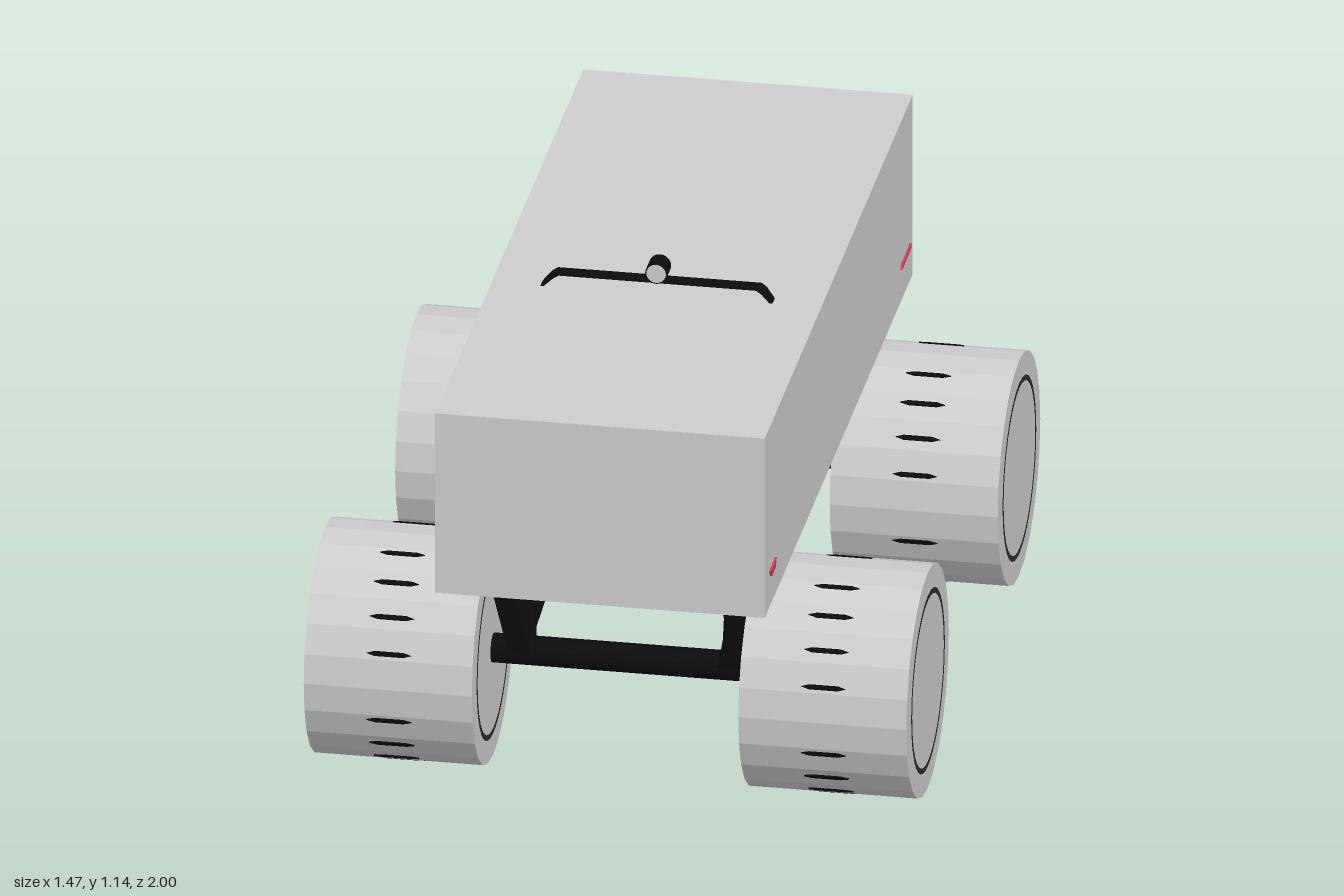
import * as THREE from 'three';

const paint = (name, color, side = THREE.FrontSide) => {
  const m = new THREE.MeshStandardMaterial({ color, flatShading: true, side });
  m.name = name;
  return m;
};

export function createModel() {
  const root = new THREE.Group();
  root.name = 'vehicle';
  const grey = paint('light grey', 0xcccccc);
  const black = paint('black', 0x0b0b0b);
  const dark = paint('dark rubber', 0x2b2b2b, THREE.DoubleSide);
  const red = paint('lamp red', 0xd0405c, THREE.DoubleSide);

  const add = (parent, name, geo, mat, x = 0, y = 0, z = 0) => {
    const m = new THREE.Mesh(geo, mat);
    m.name = name;
    m.position.set(x, y, z);
    parent.add(m);
    return m;
  };
  const box = (w, h, d) => new THREE.BoxGeometry(w, h, d);
  // round bar between two points
  const rod = (parent, name, a, b, r, mat = black, sides = 10) => {
    const p = new THREE.Vector3(...a), q = new THREE.Vector3(...b);
    const m = add(parent, name, new THREE.CylinderGeometry(r, r, p.distanceTo(q), sides), mat);
    m.position.copy(p).add(q).multiplyScalar(0.5);
    m.quaternion.setFromUnitVectors(new THREE.Vector3(0, 1, 0), q.sub(p).normalize());
    return m;
  };
  // plate drawn in z,y and extruded along x, centred on x = 0
  const sidePlate = (points, t) => {
    const s = new THREE.Shape(points.map(([z, y]) => new THREE.Vector2(-z, y)));
    const g = new THREE.ExtrudeGeometry(s, { depth: t, bevelEnabled: false });
    return g.translate(0, 0, -t / 2).rotateY(Math.PI / 2);
  };

  // Body shell
  add(root, 'body', box(0.804, 0.475, 1.985), grey, 0, 0.8225, 0.0075);

  // Wheels with rim rings and tread slots
  const R = 0.285, W = 0.41;
  const wheelGeo = new THREE.CylinderGeometry(R, R, W, 24).rotateZ(Math.PI / 2);
  const ringGeo = new THREE.RingGeometry(0.212, 0.226, 40).rotateY(Math.PI / 2);
  const slot = new THREE.Shape([[-0.055, 0], [-0.035, 0.006], [0.035, 0.006],
    [0.055, 0], [0.035, -0.006], [-0.035, -0.006]].map(p => new THREE.Vector2(...p)));
  const slotGeo = new THREE.ExtrudeGeometry(slot, { depth: 0.006, bevelEnabled: false });
  const axleZ = [0.647, -0.58];
  for (const z of axleZ) {
    for (const s of [1, -1]) {
      const wheel = new THREE.Group();
      wheel.name = 'wheel';
      wheel.position.set(s * 0.53, R, z);
      root.add(wheel);
      add(wheel, 'tyre', wheelGeo, grey);
      for (const e of [1, -1]) add(wheel, 'rimRing', ringGeo, dark, e * (W / 2 + 0.001));
      for (let i = 0; i < 20; i++) {
        if (i % 5 === 0) continue;
        const pivot = new THREE.Group();
        pivot.name = 'treadSlot';
        pivot.rotation.x = i * Math.PI / 10;
        add(pivot, 'slot', slotGeo, black, 0, 0, R - 0.0045);
        wheel.add(pivot);
      }
    }
    rod(root, 'axle', [-0.34, R, z], [0.34, R, z], 0.036, black, 16);
  }

  // Suspension towers, pins and links
  for (const s of [1, -1]) {
    axleZ.forEach((z, i) => {
      const f = i === 0 ? 1 : -1;
      const g = sidePlate([[-0.04, 0.29], [0.04, 0.29], [0.09, 0.515], [-0.09, 0.515]], 0.05);
      const p = g.attributes.position;
      for (let k = 0; k < p.count; k++) // lean outward towards the top
        p.setX(k, p.getX(k) + s * (0.255 + (p.getY(k) - 0.29) * 0.18));
      g.computeVertexNormals();
      add(root, 'shockTower', g, black, 0, 0, z);
      for (const dz of [-0.06, 0, 0.06])
        rod(root, 'shockPin', [s * 0.297, 0.5, z + dz], [s * 0.297, 0.59, z + dz], 0.017, grey, 12);
      const inner = i === 0 ? 0.25 : -0.19, low = i === 0 ? 0.13 : -0.08;
      rod(root, 'upperLink', [s * 0.25, 0.415, z], [s * 0.238, 0.505, inner], 0.014);
      rod(root, 'lowerLink', [s * 0.25, 0.295, z], [s * 0.238, 0.4, low], 0.014);
      rod(root, 'bodyStrut', [s * 0.27, 0.59, i === 0 ? 0.355 : -0.295],
        [s * 0.24, 0.4, i === 0 ? 0.17 : -0.11], 0.008);
      rod(root, 'towerStay', [s * 0.24, 0.3, z - f * 0.04], [s * 0.24, 0.53, z - f * 0.1], 0.013);
    });
    add(root, 'skidSide', sidePlate(
      [[0.148, 0.375], [0.305, 0.545], [-0.25, 0.545], [-0.09, 0.375]], 0.025), black, s * 0.236);
  }
  add(root, 'skidPlate', box(0.46, 0.012, 0.24), black, 0, 0.381, 0.029);

  // Roof bar: flat ribbon with bent ends
  const bar = new THREE.Shape();
  const half = [[0.285, 1.058], [0.262, 1.083], [0.248, 1.091]];
  const lower = half.map(([x, y], i) => [x - 0.007, y - (i ? 0.006 : 0)]);
  const left = a => a.map(([x, y]) => [-x, y]);
  bar.setFromPoints([...half, ...left(half).reverse(), ...left(lower), ...lower.slice().reverse()]
    .map(q => new THREE.Vector2(...q)));
  const barGeo = new THREE.ExtrudeGeometry(bar, { depth: 0.032, bevelEnabled: false });
  const bp = barGeo.attributes.position;
  for (let k = 0; k < bp.count; k++) // rake the bar back as it rises
    bp.setZ(k, bp.getZ(k) + 0.196 + (1.09 - bp.getY(k)) * 0.5);
  barGeo.computeVertexNormals();
  add(root, 'roofBar', barGeo, black);

  // Roof lamp
  rod(root, 'lampHousing', [0, 1.117, 0.192], [0, 1.117, 0.245], 0.027, black, 20);
  add(root, 'lampLens', new THREE.CircleGeometry(0.024, 20), grey, 0, 1.117, 0.2465);

  // Side and underside markers
  for (const s of [1, -1]) {
    add(root, 'frontMarker', sidePlate(
      [[0.94, 0.682], [0.865, 0.685], [0.88, 0.664], [0.93, 0.664]], 0.008), red, s * 0.403);
    add(root, 'rearMarker', sidePlate(
      [[-0.82, 0.672], [-0.825, 0.683], [-0.945, 0.686], [-0.94, 0.675]], 0.008), red, s * 0.403);
    add(root, 'underMarker', box(0.012, 0.008, 0.11), red, s * 0.375, 0.583, -0.905);
    rod(root, 'tailLamp', [s * 0.257, 0.648, -0.97], [s * 0.257, 0.648, -0.999], 0.034, black, 20);
    rod(root, 'tailLampLens', [s * 0.257, 0.648, -0.97], [s * 0.257, 0.648, -1], 0.03, grey, 20);
  }

  // Rear light strip, dipping slightly in the middle
  const strip = new THREE.Shape();
  strip.moveTo(-0.39, 0.695);
  strip.quadraticCurveTo(0, 0.67, 0.39, 0.695);
  strip.lineTo(0.38, 0.675);
  strip.quadraticCurveTo(0, 0.65, -0.38, 0.675);
  add(root, 'rearLightStrip', new THREE.ExtrudeGeometry(strip,
    { depth: 0.006, bevelEnabled: false, curveSegments: 10 }), red, 0, 0, -0.982);

  // Move the strip just proud of the tail panel
  root.getObjectByName('rearLightStrip').position.z = -0.9815;
  return root;
}
